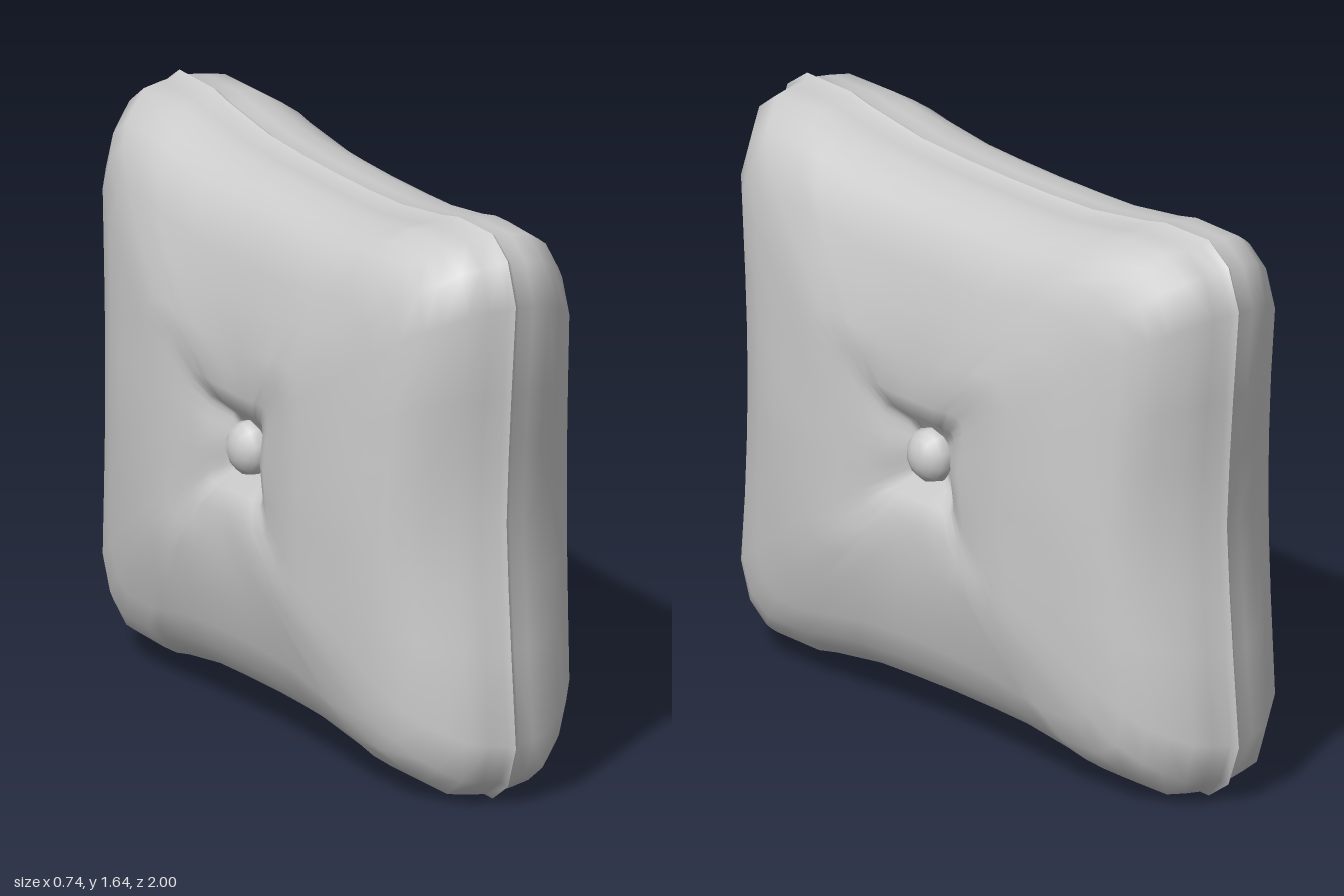
import * as THREE from 'three';

const CENTER_Y = 0.825;
const material = new THREE.MeshStandardMaterial({ color: 0xcccccc });

// Quarter of the pinched outline as [z, y], from mid side to mid top
const QUARTER = [
  [0.948, 0], [0.96, 0.2], [0.975, 0.38], [1, 0.645], [0.955, 0.765], [0.87, 0.822],
  [0.68, 0.82], [0.6, 0.803], [0.37, 0.77], [0.18, 0.762], [0, 0.76],
];

// Padding profile from seam to centre: [scale at sides, scale at top and bottom, half thickness]
const PROFILE = [
  [1, 1, 0], [0.985, 0.985, 0.018], [0.97, 0.985, 0.07], [0.945, 0.985, 0.13], [0.9, 0.945, 0.2],
  [0.87, 0.905, 0.245], [0.82, 0.83, 0.292], [0.73, 0.72, 0.325], [0.63, 0.57, 0.35],
  [0.44, 0.42, 0.37], [0.32, 0.32, 0.362], [0.21, 0.24, 0.348],
  [0.14, 0.16, 0.32], [0.09, 0.11, 0.275], [0, 0, 0.25],
];

// Mirror the quarter into the full closed outline
function outline() {
  const half = [...QUARTER, ...QUARTER.slice(0, -1).reverse().map(([z, y]) => [-z, y])];
  return [...half, ...half.slice(1, -1).reverse().map(([z, y]) => [z, -y])];
}

// One padded half, lofted in shrinking rings from the seam to the tufted centre
function paddedHalf(side) {
  const loop = outline();
  const n = loop.length;
  const positions = [];
  const index = [];
  PROFILE.forEach(([sideScale, topScale, thickness], i) => {
    for (const [z, y] of loop) {
      const u = Math.abs(z), v = Math.abs(y) / 0.8;
      const scale = THREE.MathUtils.lerp(sideScale, topScale, v * v / (u * u + v * v));
      // Corners are a little thinner; the middle of the long way is a shallow valley
      const corner = Math.min(1, u * v);
      const fit = i > 3 && scale > 0.5 ? 1 - 0.1 * corner * scale : 1;
      const valley = scale > 0.3 ? 0.025 * Math.max(0, 1 - u * scale / 0.4) * thickness / 0.37 : 0;
      positions.push(side * (thickness * fit - valley), CENTER_Y + y * scale, z * scale);
    }
    if (i === 0) return;
    for (let j = 0; j < n; j++) {
      const a = (i - 1) * n + j, b = (i - 1) * n + (j + 1) % n;
      const c = i * n + j, d = i * n + (j + 1) % n;
      if (side > 0) index.push(a, c, b, b, c, d);
      else index.push(a, b, c, b, d, c);
    }
  });
  const geometry = new THREE.BufferGeometry();
  geometry.setAttribute('position', new THREE.Float32BufferAttribute(positions, 3));
  geometry.setIndex(index);
  geometry.computeVertexNormals();
  return geometry;
}

export function createModel() {
  const cushion = new THREE.Group();
  cushion.name = 'cushion';
  for (const side of [1, -1]) {
    const label = side > 0 ? 'left' : 'right';

    const half = new THREE.Mesh(paddedHalf(side), material);
    half.name = label + 'PaddedHalf';
    cushion.add(half);

    // Round button sunk into the tuft
    const button = new THREE.Mesh(new THREE.SphereGeometry(0.08, 10, 8), material);
    button.name = label + 'Button';
    button.rotation.z = -side * Math.PI / 2;
    button.scale.y = 0.8;
    button.position.set(side * 0.275, CENTER_Y + 0.005, 0);
    cushion.add(button);
  }
  return cushion;
}
